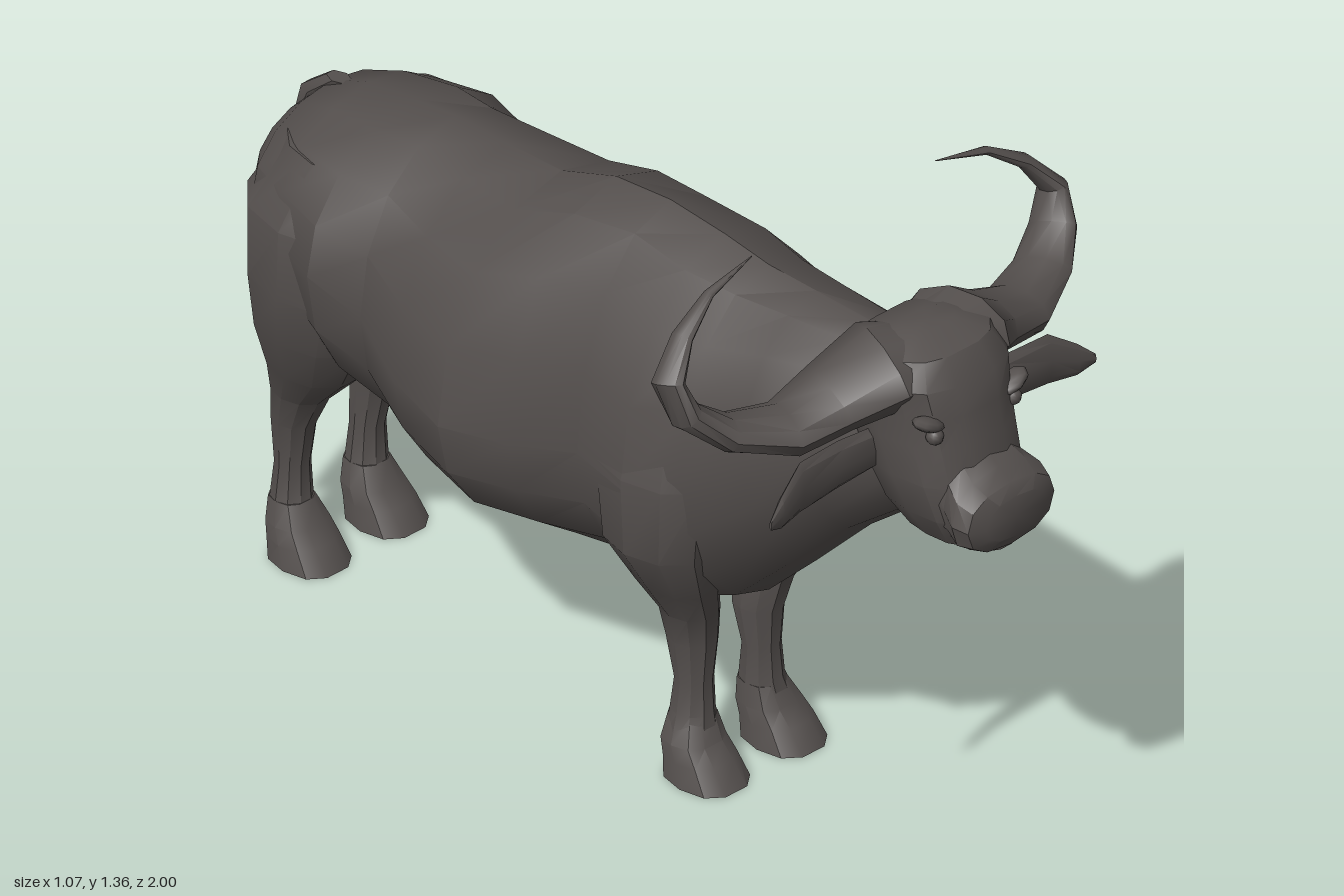
import * as THREE from 'three';
import { toCreasedNormals } from 'three/addons/utils/BufferGeometryUtils.js';

const X = new THREE.Vector3(1, 0, 0);
const Y = new THREE.Vector3(0, 1, 0);
const Z = new THREE.Vector3(0, 0, 1);

// One cross-section: half-width w along A, reach up / down along B, p = roundness (1 round, less is squarer)
function ring(c, A, B, w, up, down, p = 1, sides = 12) {
  const pts = [];
  for (let i = 0; i < sides; i++) {
    const t = (i / sides) * Math.PI * 2, co = Math.cos(t), si = Math.sin(t);
    const u = Math.sign(co) * Math.abs(co) ** p * w;
    const v = Math.sign(si) * Math.abs(si) ** p * (si > 0 ? up : down);
    pts.push(c.clone().addScaledVector(A, u).addScaledVector(B, v));
  }
  return pts;
}

// Skin a list of rings, close both ends and make the faces point outwards
function loft(rings, crease = 0.55) {
  const n = rings[0].length, pos = [], idx = [];
  rings.flat().forEach((v) => pos.push(v.x, v.y, v.z));
  for (let r = 0; r < rings.length - 1; r++) {
    for (let i = 0; i < n; i++) {
      const a = r * n + i, b = r * n + ((i + 1) % n);
      idx.push(a, b, b + n, a, b + n, a + n);
    }
  }
  [[rings[0], 0, true], [rings.at(-1), (rings.length - 1) * n, false]].forEach(([pts, base, flip]) => {
    const m = new THREE.Vector3();
    pts.forEach((v) => m.addScaledVector(v, 1 / n));
    const c = pos.length / 3;
    pos.push(m.x, m.y, m.z);
    for (let i = 0; i < n; i++) {
      const a = base + i, b = base + ((i + 1) % n);
      idx.push(c, flip ? b : a, flip ? a : b);
    }
  });
  let volume = 0;
  const at = (i) => new THREE.Vector3().fromArray(pos, i * 3);
  for (let i = 0; i < idx.length; i += 3) volume += at(idx[i]).dot(at(idx[i + 1]).cross(at(idx[i + 2])));
  if (volume < 0) idx.reverse();
  const g = new THREE.BufferGeometry();
  g.setAttribute('position', new THREE.Float32BufferAttribute(pos, 3));
  g.setIndex(idx);
  return toCreasedNormals(g, crease);
}

// Stack of parallel ovals, rows are [x, y, z, half-size on A, half-size on B]
const stack = (rows, A, B, s = 1, sides = 10, p = 1) =>
  loft(rows.map(([x, y, z, a, b]) => ring(new THREE.Vector3(x * s, y, z), A, B, a, b, b, p, sides)));

export function createModel() {
  const model = new THREE.Group();
  const hide = new THREE.MeshStandardMaterial({ color: 0x544f4d });
  hide.name = 'dark hide';
  const add = (name, geometry) => {
    const mesh = new THREE.Mesh(geometry, hide);
    mesh.name = name;
    model.add(mesh);
    return mesh;
  };

  // Body and neck: [z, top, bottom, half-width, height of widest point]
  const body = [
    [0.74, 1.1, 0.79, 0.11, 0.95], [0.6, 1.14, 0.68, 0.165, 0.92], [0.45, 1.14, 0.53, 0.2, 0.84],
    [0.32, 1.14, 0.405, 0.235, 0.76], [0.2, 1.155, 0.36, 0.28, 0.7], [0.05, 1.165, 0.385, 0.25, 0.7],
    [-0.1, 1.15, 0.37, 0.29, 0.67], [-0.25, 1.095, 0.36, 0.33, 0.66], [-0.4, 1.09, 0.385, 0.3, 0.68],
    [-0.54, 1.088, 0.42, 0.255, 0.74], [-0.65, 1.075, 0.46, 0.29, 0.8], [-0.78, 1.055, 0.53, 0.255, 0.82],
    [-0.88, 1.015, 0.6, 0.215, 0.84], [-0.935, 0.96, 0.72, 0.15, 0.85],
  ];
  add('body', loft(body.map(([z, top, bottom, w, mid]) =>
    ring(new THREE.Vector3(0, mid, z), X, Y, w, top - mid, mid - bottom, 1, 16))));

  // Head: [y, front z, back z, half-width]
  const head = [
    [1.215, 0.79, 0.72, 0.06], [1.19, 0.855, 0.65, 0.125], [1.14, 0.89, 0.6, 0.155], [1.08, 0.905, 0.59, 0.145],
    [1.02, 0.92, 0.61, 0.14], [0.94, 0.94, 0.65, 0.135], [0.86, 0.95, 0.69, 0.115], [0.79, 0.92, 0.73, 0.07],
  ];
  add('head', loft(head.map(([y, f, b, w]) =>
    ring(new THREE.Vector3(0, y, (f + b) / 2), X, Z, w, (f - b) / 2, (f - b) / 2, 0.75, 14))));

  // Muzzle, wider than the bridge above it
  add('muzzle', stack([
    [0, 0.91, 0.85, 0.1, 0.105], [0, 0.9, 0.91, 0.108, 0.095], [0, 0.885, 0.95, 0.125, 0.085],
    [0, 0.88, 0.985, 0.115, 0.07], [0, 0.88, 1.0, 0.08, 0.045],
  ], X, Y, 1, 12, 0.85));
  add('chin', stack([
    [0, 0.825, 0.84, 0.08, 0.04], [0, 0.815, 0.93, 0.07, 0.033], [0, 0.815, 0.97, 0.045, 0.02],
  ], X, Y));

  for (const s of [1, -1]) {
    const side = s > 0 ? 'left' : 'right';

    // Horn: [x, y, z, half-depth, half-thickness], swept along its own curve
    const horn = [
      [0.03, 1.14, 0.745, 0.1, 0.065], [0.1, 1.145, 0.735, 0.115, 0.076], [0.2, 1.092, 0.69, 0.09, 0.056],
      [0.31, 1.067, 0.68, 0.075, 0.048], [0.42, 1.088, 0.635, 0.065, 0.035], [0.49, 1.14, 0.595, 0.055, 0.031],
      [0.512, 1.21, 0.57, 0.04, 0.024], [0.455, 1.28, 0.55, 0.025, 0.015], [0.37, 1.333, 0.535, 0.012, 0.008],
      [0.245, 1.36, 0.525, 0.001, 0.001],
    ];
    const path = horn.map(([x, y, z]) => new THREE.Vector3(x * s, y, z));
    add(side + 'Horn', loft(horn.map(([, , , a, b], i) => {
      const t = path[Math.min(i + 1, path.length - 1)].clone().sub(path[Math.max(i - 1, 0)]).normalize();
      const A = Z.clone().addScaledVector(t, -t.z).normalize();
      return ring(path[i], A, t.cross(A), a, b, b, 1, 10);
    }), 0.7));

    // Ear: a thin drooping leaf
    add(side + 'Ear', stack([
      [0.11, 0.967, 0.73, 0.045, 0.02], [0.22, 0.973, 0.735, 0.053, 0.018], [0.33, 0.974, 0.745, 0.056, 0.013],
      [0.395, 0.951, 0.76, 0.035, 0.01], [0.433, 0.942, 0.77, 0.01, 0.003],
    ], Y, Z, s, 8));

    // Eye under a slanting brow, and nostril rim
    const eye = add(side + 'Eye', new THREE.SphereGeometry(0.018, 10, 8));
    eye.position.set(0.104 * s, 1.052, 0.882);
    const brow = add(side + 'Brow', new THREE.SphereGeometry(0.03, 8, 6));
    brow.scale.set(1.3, 0.5, 0.9);
    brow.position.set(0.112 * s, 1.078, 0.872);
    brow.rotation.z = 0.4 * s;
    const nostril = add(side + 'Nostril', new THREE.TorusGeometry(0.018, 0.006, 6, 10));
    nostril.position.set(0.07 * s, 0.895, 0.985);
    nostril.rotation.y = 0.5 * s;

    // Front leg and hoof
    add(side + 'FrontLeg', stack([
      [0.14, 0.92, 0.2, 0.08, 0.11], [0.175, 0.72, 0.2, 0.105, 0.15], [0.172, 0.55, 0.2, 0.1, 0.13],
      [0.135, 0.44, 0.205, 0.072, 0.095], [0.1, 0.36, 0.205, 0.055, 0.066], [0.088, 0.29, 0.2, 0.048, 0.056],
      [0.09, 0.2, 0.207, 0.038, 0.04], [0.092, 0.13, 0.205, 0.043, 0.047], [0.1, 0.075, 0.212, 0.057, 0.055],
    ], X, Z, s));
    add(side + 'FrontHoof', stack([
      [0.092, 0.12, 0.205, 0.044, 0.046], [0.1, 0.075, 0.215, 0.06, 0.058],
      [0.102, 0.045, 0.235, 0.066, 0.068], [0.103, 0, 0.255, 0.073, 0.085],
    ], X, Z, s, 10, 0.8));

    // Hind leg and hoof
    add(side + 'HindLeg', stack([
      [0.12, 0.98, -0.73, 0.08, 0.13], [0.145, 0.85, -0.745, 0.13, 0.185], [0.155, 0.7, -0.745, 0.125, 0.175],
      [0.15, 0.58, -0.765, 0.108, 0.145], [0.132, 0.47, -0.795, 0.08, 0.105], [0.115, 0.38, -0.848, 0.052, 0.066],
      [0.105, 0.3, -0.876, 0.043, 0.048], [0.1, 0.2, -0.885, 0.036, 0.036], [0.1, 0.12, -0.888, 0.043, 0.042],
      [0.1, 0.075, -0.875, 0.057, 0.05],
    ], X, Z, s));
    add(side + 'HindHoof', stack([
      [0.1, 0.12, -0.888, 0.043, 0.042], [0.1, 0.075, -0.872, 0.06, 0.055],
      [0.102, 0.045, -0.855, 0.066, 0.065], [0.103, 0, -0.835, 0.072, 0.08],
    ], X, Z, s, 10, 0.8));
  }

  // Tail hanging down the rump, swelling into a pointed tuft
  add('tail', stack([
    [0, 1.03, -0.86, 0.02, 0.03], [0, 0.98, -0.92, 0.028, 0.035], [0, 0.9, -0.955, 0.024, 0.022],
    [0, 0.7, -0.962, 0.018, 0.017], [0, 0.5, -0.972, 0.022, 0.02],
  ], X, Z, 1, 6));
  add('tailTuft', stack([
    [0, 0.52, -0.972, 0.02, 0.018], [0, 0.38, -0.968, 0.048, 0.03], [0, 0.28, -0.966, 0.04, 0.034],
    [0, 0.17, -0.967, 0.022, 0.03], [0, 0.07, -0.985, 0.001, 0.001],
  ], X, Z, 1, 6));

  return model;
}
